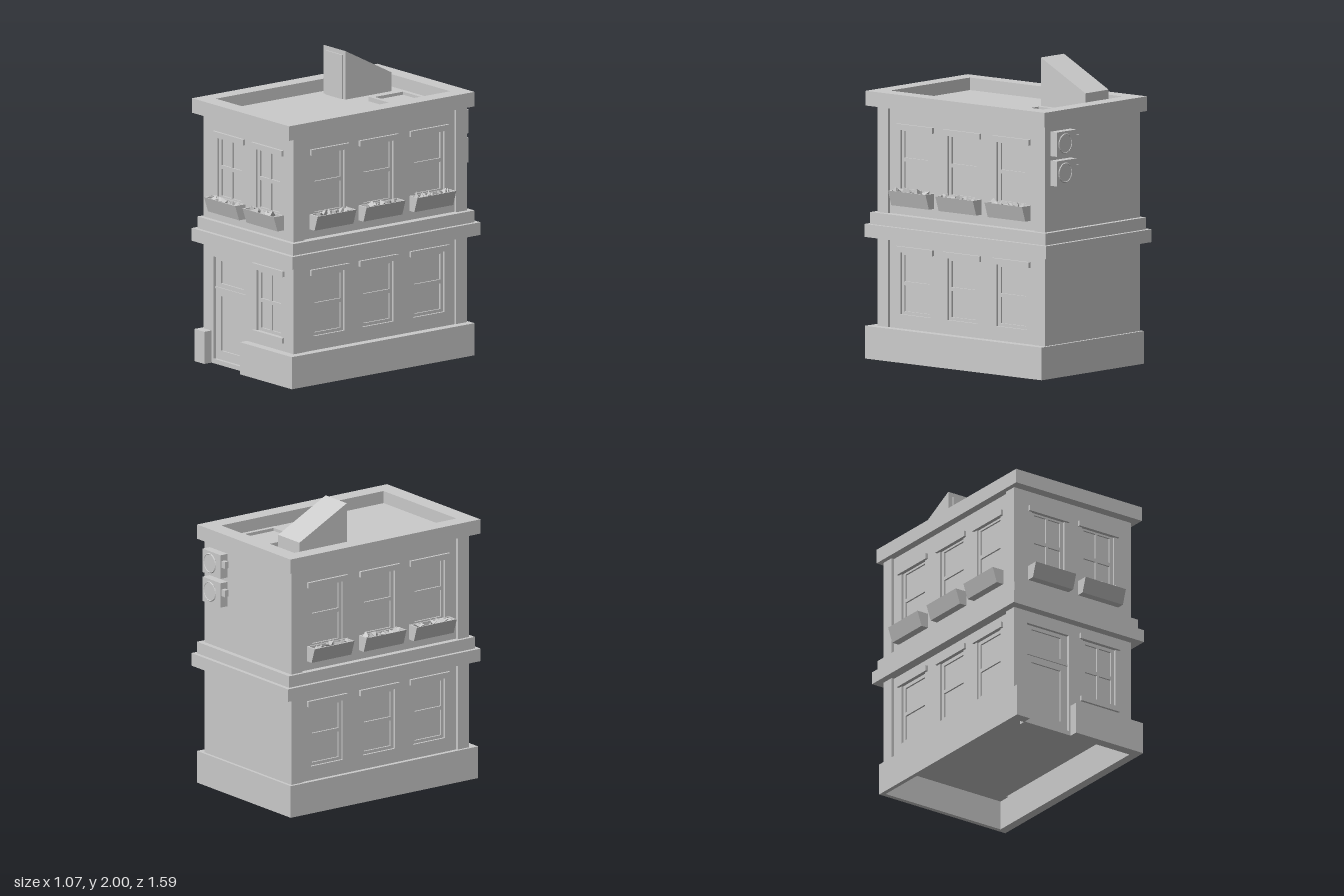
import * as THREE from 'three';

const grey = new THREE.MeshStandardMaterial({ color: 0xcccccc, flatShading: true, side: THREE.DoubleSide });

function add(parent, name, geometry) {
  const mesh = new THREE.Mesh(geometry, grey);
  mesh.name = name;
  parent.add(mesh);
  return mesh;
}

// Box given by its limits on each axis
function block(parent, name, x0, x1, y0, y1, z0, z1) {
  const mesh = add(parent, name, new THREE.BoxGeometry(x1 - x0, y1 - y0, z1 - z0));
  mesh.position.set((x0 + x1) / 2, (y0 + y1) / 2, (z0 + z1) / 2);
  return mesh;
}

const toShape = (pts) => new THREE.Shape(pts.map(([x, y]) => new THREE.Vector2(x, y)));
const rect = (x0, x1, y0, y1) => [[x0, y0], [x1, y0], [x1, y1], [x0, y1]];

// Upright panel with holes, front face at z, going back by depth
function panel(parent, name, outline, holes, z, depth) {
  const shape = toShape(outline);
  holes.forEach((h) => shape.holes.push(toShape(rect(...h))));
  const mesh = add(parent, name, new THREE.ExtrudeGeometry(shape, { depth, bevelEnabled: false }));
  mesh.position.z = z - depth;
  return mesh;
}

// Flat plan outline (x, z) raised from y0 to y1
function slab(parent, name, outline, holes, y0, y1) {
  const mesh = panel(parent, name, outline, holes, 0, y1 - y0);
  mesh.rotation.x = -Math.PI / 2;
  mesh.position.set(0, y0, 0);
  return mesh;
}

// Sash window set in an opening of the wall plane z = 0
function windowUnit(parent, cx, y0, y1, cols, paneRows) {
  const g = new THREE.Group();
  g.name = 'window';
  g.position.x = cx;
  parent.add(g);
  const panes = [];
  for (const [a, b] of paneRows) {
    if (cols === 2) panes.push([-0.105, -0.008, a, b], [0.008, 0.105, a, b]);
    else panes.push([-0.108, 0.108, a, b]);
  }
  panel(g, 'sashFrame', rect(-0.13, 0.13, y0, y1), panes, -0.015, 0.012);
  block(g, 'glass', -0.13, 0.13, y0, y1, -0.04, -0.03);
  block(g, 'lintel', -0.16, 0.16, y1 - 0.005, y1 + 0.033, -0.01, 0.017);
  return g;
}

let seed = 7;
const rand = () => (seed = (seed * 16807) % 2147483647) / 2147483647;

// Tapered planter box filled with angular plants
function planter(parent, cx) {
  const g = new THREE.Group();
  g.name = 'flowerBox';
  g.position.set(cx, 0, 0);
  parent.add(g);
  const profile = [[0, 1.025], [0.052, 1.025], [0.085, 1.125], [0.076, 1.125],
    [0.07, 1.105], [0.01, 1.105], [0.01, 1.125], [0, 1.125]];
  const trough = add(g, 'trough', new THREE.ExtrudeGeometry(toShape(profile), { depth: 0.3, bevelEnabled: false }));
  trough.rotation.y = -Math.PI / 2;
  trough.position.x = 0.15;
  for (const s of [-1, 1]) {
    const end = add(g, 'endBoard', new THREE.ExtrudeGeometry(
      toShape([[0, 1.025], [0.052, 1.025], [0.085, 1.125], [0, 1.125]]), { depth: 0.012, bevelEnabled: false }));
    end.rotation.y = -Math.PI / 2;
    end.position.x = s > 0 ? 0.162 : -0.15;
  }
  for (let i = 0; i < 9; i++) {
    const plant = add(g, 'plant', new THREE.TetrahedronGeometry(0.026 + 0.014 * rand()));
    plant.position.set(-0.125 + i * 0.031, 1.113 + 0.012 * rand(), 0.03 + 0.025 * rand());
    plant.rotation.set(rand() * 3, rand() * 3, rand() * 3);
    plant.scale.set(1.1, 0.8, 0.75);
  }
}

const UPPER = [1.08, 1.525], UPPER_PANES = [[1.13, 1.31], [1.335, 1.51]];
const LOWER = [0.305, 0.72], LOWER_PANES = [[0.325, 0.497], [0.522, 0.695]];

function frontFacade(root) {
  const g = new THREE.Group();
  g.name = 'frontFacade';
  g.position.z = 0.71;
  root.add(g);
  const door = [-0.37, -0.035, 0.03, 0.715];
  const holes = [door, [0.08, 0.34, ...LOWER]];
  for (const x of [-0.2, 0.2]) holes.push([x - 0.13, x + 0.13, ...UPPER]);
  panel(g, 'frontWall', [[-0.475, 0.2], [-0.39, 0.2], [-0.39, 0], [-0.02, 0], [-0.02, 0.2],
    [0.465, 0.2], [0.465, 1.66], [-0.475, 1.66]], holes, 0, 0.05);
  for (const x of [-0.2, 0.2]) {
    windowUnit(g, x, ...UPPER, 2, UPPER_PANES);
    planter(g, x);
  }
  const shopWindow = windowUnit(g, 0.21, ...LOWER, 2, LOWER_PANES);
  block(shopWindow, 'sill', -0.155, 0.155, 0.27, 0.305, -0.01, 0.017);
  // Door with a light above it
  panel(g, 'doorFrame', rect(...door), [[-0.32, -0.085, 0.09, 0.455], [-0.32, -0.085, 0.54, 0.69]], -0.022, 0.012);
  block(g, 'doorPanel', -0.37, -0.035, 0.03, 0.715, -0.048, -0.038);
  block(g, 'transomBar', -0.37, -0.035, 0.5, 0.512, -0.03, -0.014);
}

function sideFacade(root, s) {
  const g = new THREE.Group();
  g.name = s > 0 ? 'leftFacade' : 'rightFacade';
  g.position.x = -0.005 + s * 0.45;
  g.rotation.y = s * Math.PI / 2;
  root.add(g);
  const centres = [0.4, -0.008, -0.432].map((z) => -s * z);
  const holes = centres.flatMap((c) => [LOWER, UPPER].map((r) => [c - 0.13, c + 0.13, ...r]));
  panel(g, 'sideWall', rect(-0.69, 0.69, 0.2, 1.66), holes, 0, 0.05);
  for (const c of centres) {
    windowUnit(g, c, ...LOWER, 1, LOWER_PANES);
    windowUnit(g, c, ...UPPER, 1, UPPER_PANES);
    planter(g, c);
  }
  // Corner pier at the front
  const x = -0.005 + s * 0.435;
  block(root, 'cornerPier', x - 0.035, x + 0.035, 0.2, 1.66, 0.62, 0.68);
}

function airConditioner(root, y0, y1) {
  const g = new THREE.Group();
  g.name = 'airConditioner';
  root.add(g);
  const cy = (y0 + y1) / 2;
  block(g, 'housing', 0.215, 0.41, y0, y1, -0.792, -0.73);
  block(g, 'valveCover', 0.18, 0.22, cy - 0.005, cy + 0.04, -0.785, -0.755);
  const ring = add(g, 'fanRing', new THREE.TorusGeometry(0.062, 0.005, 4, 20));
  ring.position.set(0.33, cy, -0.793);
  const hub = add(g, 'fanCover', new THREE.CylinderGeometry(0.06, 0.06, 0.004, 20));
  hub.rotation.x = Math.PI / 2;
  hub.position.set(0.33, cy, -0.793);
}

function roof(root) {
  slab(root, 'parapet', rect(-0.508, 0.503, -0.778, 0.767), [[-0.4, 0.39, -0.665, 0.655]], 1.66, 1.757);
  block(root, 'roofDeck', -0.44, 0.43, 1.62, 1.675, -0.7, 0.68);
  // Stair bulkhead with sloping top
  const stair = add(root, 'stairBulkhead', new THREE.ExtrudeGeometry(
    toShape([[-0.19, 1.67], [-0.19, 2], [-0.575, 1.8], [-0.575, 1.67]]), { depth: 0.23, bevelEnabled: false }));
  stair.rotation.y = -Math.PI / 2;
  stair.position.x = -0.12;
  block(root, 'roofDoor', -0.315, -0.145, 1.675, 1.97, -0.2, -0.18);
  // Skylight
  slab(root, 'skylightCurb', rect(0.005, 0.312, 0.28, 0.575), [[0.038, 0.282, 0.31, 0.543]], 1.67, 1.705);
  block(root, 'skylightGlass', 0.03, 0.29, 1.67, 1.685, -0.55, -0.3);
}

export function createModel() {
  const root = new THREE.Group();
  root.name = 'townBuilding';
  block(root, 'core', -0.41, 0.4, 0.2, 1.65, -0.7, 0.661);
  block(root, 'backWall', -0.475, 0.465, 0.2, 1.66, -0.735, -0.645);
  frontFacade(root);
  for (const s of [1, -1]) sideFacade(root, s);
  // Plinth wraps the foot and leaves a gap at the door
  const plinth = [[-0.39, 0.77], [-0.495, 0.77], [-0.495, -0.755], [0.52, -0.755], [0.52, 0.77], [-0.02, 0.77],
    [-0.02, 0.7], [0.46, 0.7], [0.46, -0.725], [-0.465, -0.725], [-0.465, 0.7], [-0.39, 0.7]];
  slab(root, 'plinth', plinth.map(([x, z]) => [x, -z]), [], 0, 0.215);
  // Stepped band between the floors
  block(root, 'lowerBand', -0.522, 0.526, 0.8, 0.885, -0.797, 0.77);
  block(root, 'upperBand', -0.497, 0.5, 0.885, 0.963, -0.77, 0.742);
  roof(root);
  airConditioner(root, 1.46, 1.62);
  airConditioner(root, 1.265, 1.43);
  return root;
}
